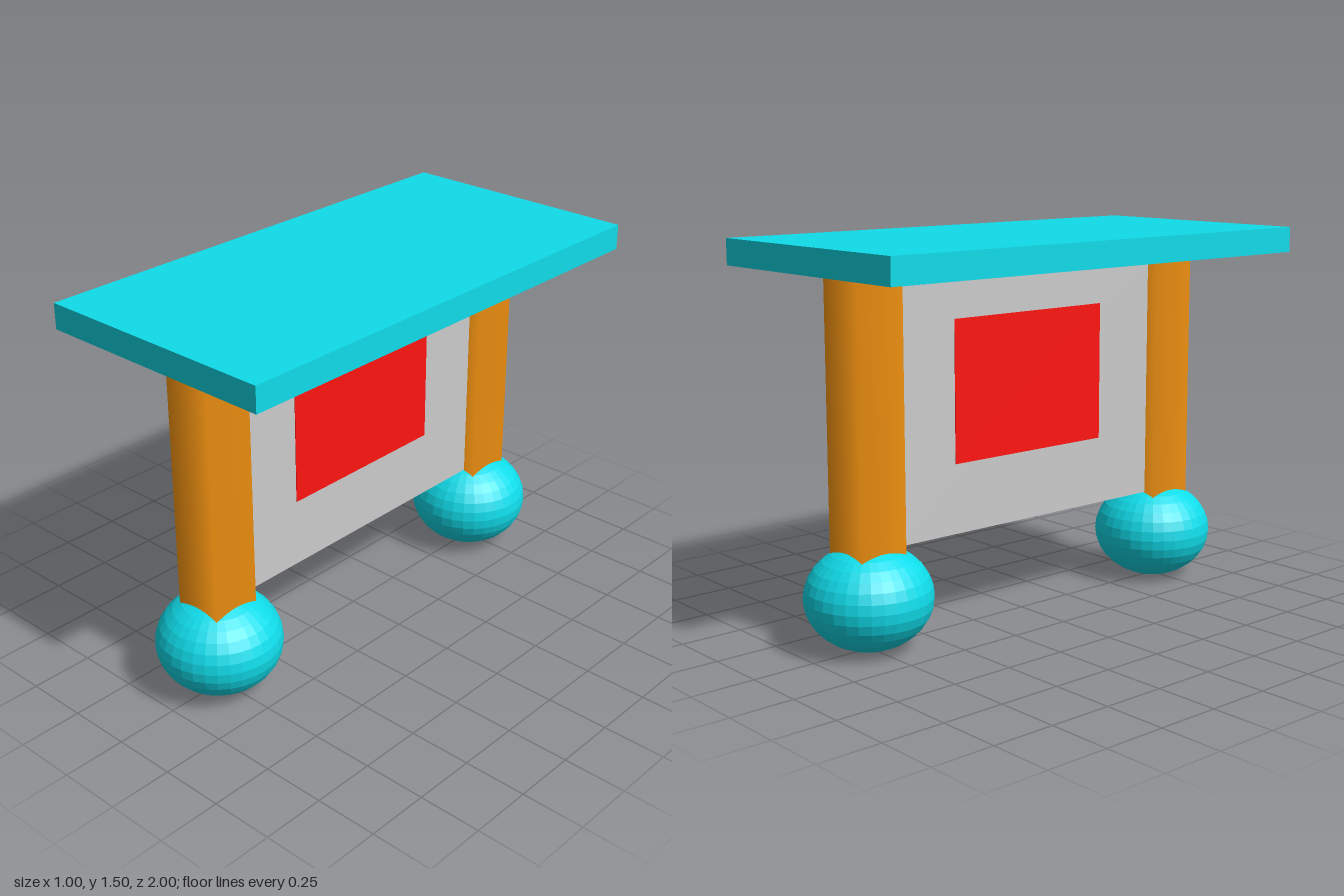
import * as THREE from 'three';

const mat = (color, extra = {}) => new THREE.MeshStandardMaterial({ color, ...extra });

export function createModel() {
  const model = new THREE.Group();
  const teal = mat(0x10dcea);
  const tealFaceted = mat(0x10dcea, { flatShading: true });
  const orange = mat(0xff9a12);
  const grey = mat(0xcccccc);
  const red = mat(0xff1410);

  const add = (name, geometry, material, x, y, z) => {
    const mesh = new THREE.Mesh(geometry, material);
    mesh.name = name;
    mesh.position.set(x, y, z);
    model.add(mesh);
    return mesh;
  };

  // Flat slab on top
  add('roof', new THREE.BoxGeometry(1, 0.1, 2), teal, 0, 1.45, 0);

  // Square posts with soft-shaded corners, standing on flattened faceted balls
  const postGeometry = new THREE.CylinderGeometry(Math.SQRT2 * 0.1, Math.SQRT2 * 0.1, 1.2, 4, 1, false, Math.PI / 4);
  const ballGeometry = new THREE.SphereGeometry(1, 32, 16).scale(0.243, 0.2, 0.243);
  for (const [end, z] of [['front', 0.75], ['back', -0.75]]) {
    add(end + 'Post', postGeometry, orange, 0, 0.8, z);
    add(end + 'Foot', ballGeometry, tealFaceted, 0, 0.2, z);
  }

  // Wall between the posts, with a red plate showing on both faces
  add('wallPanel', new THREE.BoxGeometry(0.1, 1.02, 1.34), grey, 0, 0.89, 0);
  add('redPlate', new THREE.BoxGeometry(0.104, 0.55, 0.75), red, 0, 0.927, 0);

  return model;
}
